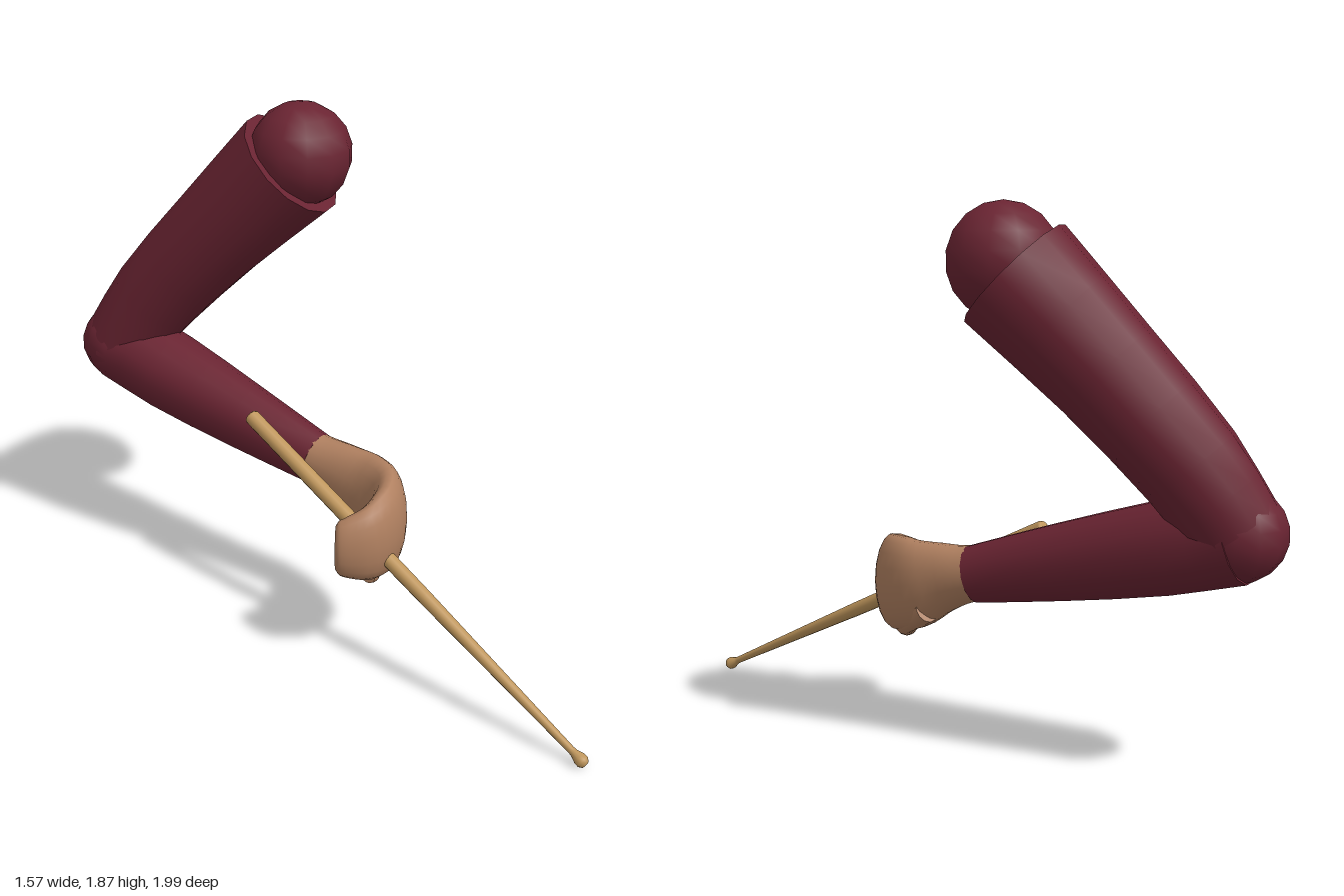
import * as THREE from 'three';

// Smooth closed tube through sections [x, y, z, halfWidth, halfHeight]
function loft(sections, steps, sides) {
  const path = new THREE.CatmullRomCurve3(sections.map(s => new THREE.Vector3(s[0], s[1], s[2])));
  const size = new THREE.CatmullRomCurve3(sections.map(s => new THREE.Vector3(s[3], s[4], 0)));
  const up = new THREE.Vector3(0, 1, 0);
  const pos = [], idx = [], rings = [];
  for (let i = 0; i <= steps; i++) {
    const f = i / steps;
    const c = path.getPoint(f), r = size.getPoint(f), t = path.getTangent(f);
    const side = up.clone().cross(t).normalize();
    const v = t.clone().cross(side);
    const ring = [];
    for (let j = 0; j < sides; j++) {
      const a = (j / sides) * Math.PI * 2;
      ring.push(c.clone().addScaledVector(side, Math.cos(a) * r.x).addScaledVector(v, Math.sin(a) * r.y));
    }
    rings.push({ c, ring });
    ring.forEach(p => pos.push(p.x, p.y, p.z));
  }
  for (let i = 0; i < steps; i++) {
    for (let j = 0; j < sides; j++) {
      const k = (j + 1) % sides;
      const a = i * sides + j, b = i * sides + k, d = a + sides, e = b + sides;
      idx.push(a, b, d, b, e, d);
    }
  }
  // flat end caps with their own vertices
  [[rings[0], true], [rings[steps], false]].forEach(([{ c, ring }, start]) => {
    const base = pos.length / 3;
    [c, ...ring].forEach(p => pos.push(p.x, p.y, p.z));
    for (let j = 0; j < sides; j++) {
      const a = base + 1 + j, b = base + 1 + ((j + 1) % sides);
      if (start) idx.push(base, b, a);
      else idx.push(base, a, b);
    }
  });
  const g = new THREE.BufferGeometry();
  g.setAttribute('position', new THREE.Float32BufferAttribute(pos, 3));
  g.setIndex(idx);
  g.computeVertexNormals();
  return g;
}

function material(name, color) {
  const m = new THREE.MeshStandardMaterial({ color });
  m.name = name;
  return m;
}

export function createModel() {
  const model = new THREE.Group();
  model.name = 'armWithStick';
  const sleeve = material('maroonSleeve', 0x6a2432);
  const skin = material('skin', 0xb08060);
  const wood = material('wood', 0xbf965c);

  const add = (name, geometry, mat) => {
    const mesh = new THREE.Mesh(geometry, mat);
    mesh.name = name;
    model.add(mesh);
    return mesh;
  };

  // Sleeve joints
  add('shoulder', new THREE.SphereGeometry(0.19, 12, 9), sleeve).position.set(0.03, 1.68, -0.465);
  add('elbow', new THREE.SphereGeometry(0.157, 12, 9), sleeve).position.set(-0.63, 0.84, -0.845);

  // Upper arm, slightly fuller along the outside
  add('upperArm', loft([
    [-0.62, 0.85, -0.84, 0.155, 0.155],
    [-0.49, 1.05, -0.78, 0.172, 0.172],
    [-0.26, 1.34, -0.64, 0.19, 0.19],
    [0.0, 1.64, -0.49, 0.22, 0.22],
  ], 6, 14), sleeve);

  // Forearm down to the cuff
  add('forearm', loft([
    [-0.63, 0.835, -0.85, 0.155, 0.157],
    [-0.45, 0.77, -0.67, 0.152, 0.155],
    [-0.18, 0.68, -0.4, 0.118, 0.13],
    [0.05, 0.605, -0.175, 0.088, 0.1],
  ], 6, 14), sleeve);

  // Wrist, palm and fingers as one curled mitten
  add('hand', loft([
    [0.0, 0.622, -0.222, 0.083, 0.094],
    [0.06, 0.604, -0.165, 0.085, 0.098],
    [0.14, 0.578, -0.085, 0.082, 0.125],
    [0.215, 0.545, 0.0, 0.078, 0.162],
    [0.262, 0.528, 0.11, 0.068, 0.172],
    [0.238, 0.512, 0.22, 0.067, 0.168],
    [0.165, 0.5, 0.295, 0.06, 0.145],
    [0.09, 0.495, 0.305, 0.052, 0.118],
    [0.062, 0.495, 0.3, 0.047, 0.105],
    [0.05, 0.495, 0.297, 0.034, 0.085],
  ], 30, 18), skin);

  // Thumb tucked under the palm
  add('thumb', loft([
    [0.19, 0.47, -0.08, 0.045, 0.05],
    [0.232, 0.392, 0.07, 0.042, 0.045],
    [0.205, 0.35, 0.18, 0.038, 0.042],
    [0.182, 0.338, 0.235, 0.034, 0.036],
    [0.176, 0.335, 0.25, 0.022, 0.024],
  ], 12, 12), skin);

  // Tapered stick with a small bead at the tip
  const butt = new THREE.Vector3(-0.185, 0.765, -0.235);
  const tip = new THREE.Vector3(0.773, 0.018, 0.985);
  const dir = tip.clone().sub(butt);
  const len = dir.length();
  const profile = [
    [0, 0], [0.024, 0], [0.029, 0.008], [0.029, len * 0.3], [0.026, len * 0.55],
    [0.013, len - 0.07], [0.014, len - 0.055], [0.023, len - 0.03],
    [0.023, len - 0.014], [0.014, len - 0.002], [0, len],
  ].map(p => new THREE.Vector2(p[0], p[1]));
  const stick = add('stick', new THREE.LatheGeometry(profile, 12), wood);
  stick.position.copy(butt);
  stick.quaternion.setFromUnitVectors(new THREE.Vector3(0, 1, 0), dir.normalize());

  return model;
}
